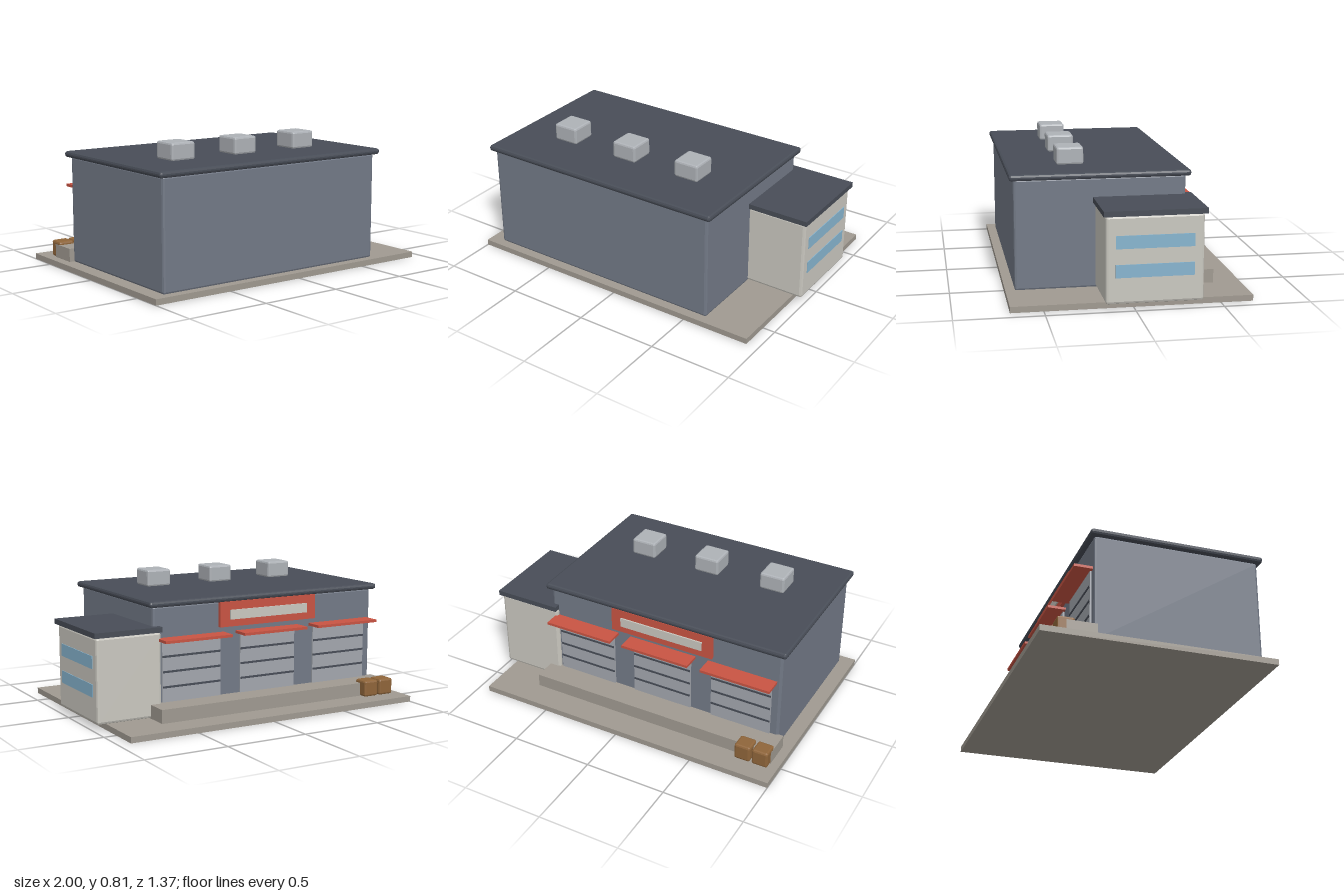
import * as THREE from 'three';
import { RoundedBoxGeometry } from 'three/addons/geometries/RoundedBoxGeometry.js';

const material = (name, color) => {
  const m = new THREE.MeshStandardMaterial({ color });
  m.name = name;
  return m;
};

export function createModel() {
  const wall = material('wall slate', 0x737a87);
  const roof = material('roof charcoal', 0x484d57);
  const office = material('office cream', 0xcac8c0);
  const concrete = material('concrete', 0xa09a91);
  const red = material('awning red', 0xc95443);
  const glass = material('window blue', 0x87b5d0);
  const metal = material('unit grey', 0xaeb2b7);
  const shutter = material('shutter grey', 0xa3a7ae);
  const wood = material('crate brown', 0x8f653a);

  const model = new THREE.Group();
  model.name = 'warehouse';

  // Box from its limits; a bevel above zero chamfers every edge
  const block = (name, mat, [x0, x1], [y0, y1], [z0, z1], bevel = 0) => {
    const size = [x1 - x0, y1 - y0, z1 - z0];
    const geo = bevel
      ? new RoundedBoxGeometry(...size, 1, bevel)
      : new THREE.BoxGeometry(...size);
    if (bevel) geo.computeVertexNormals();
    const mesh = new THREE.Mesh(geo, mat);
    mesh.name = name;
    mesh.position.set((x0 + x1) / 2, (y0 + y1) / 2, (z0 + z1) / 2);
    model.add(mesh);
  };
  const span = (centre, width) => [centre - width / 2, centre + width / 2];
  const midX = -0.147;

  // Ground and main hall
  block('groundSlab', concrete, [-1, 0.925], [0, 0.035], [-0.687, 0.687]);
  block('mainHall', wall, [-0.915, 0.621], [0.03, 0.68], [-0.36, 0.633], 0.014);
  block('mainRoof', roof, [-0.945, 0.651], [0.674, 0.71], [-0.387, 0.658], 0.014);

  // Office wing with two window bands
  block('officeWing', office, [0.58, 0.985], [0.037, 0.535], [-0.385, 0.166], 0.015);
  block('officeRoof', roof, [0.58, 1], [0.534, 0.565], [-0.4, 0.18]);
  for (const y of [0.225, 0.388]) {
    block('officeWindow', glass, [0.982, 0.989], span(y, 0.074), [-0.33, 0.112]);
  }

  // Loading dock
  block('loadingDock', concrete, [-0.945, 0.651], [0.03, 0.116], [-0.525, -0.35]);

  // Three shutter doors with seams and awnings
  for (const i of [-1, 0, 1]) {
    const x = midX + i * 0.522;
    block('shutterDoor', shutter, span(x, 0.385), [0.11, 0.482], [-0.37, -0.355]);
    for (const y of [0.205, 0.295, 0.385]) {
      block('shutterSeam', roof, span(x, 0.38), span(y, 0.012), [-0.374, -0.367]);
    }
    block('awning', red, span(x, 0.44), [0.479, 0.495], [-0.47, -0.355]);
  }

  // Blank sign board over the middle door
  block('signBoard', red, span(midX, 0.67), [0.525, 0.675], [-0.382, -0.355]);
  block('signPanel', office, span(midX, 0.54), [0.568, 0.625], [-0.391, -0.382]);

  // Rooftop units
  for (const i of [-1, 0, 1]) {
    block('rooftopUnit', metal, span(midX + i * 0.441, 0.16), [0.707, 0.811], [0.196, 0.356], 0.012);
  }

  // Crates at the end of the dock
  for (const x of [-0.894, -0.783]) {
    block('crate', wood, span(x, 0.1), [0.035, 0.135], [-0.575, -0.475], 0.012);
  }

  return model;
}
